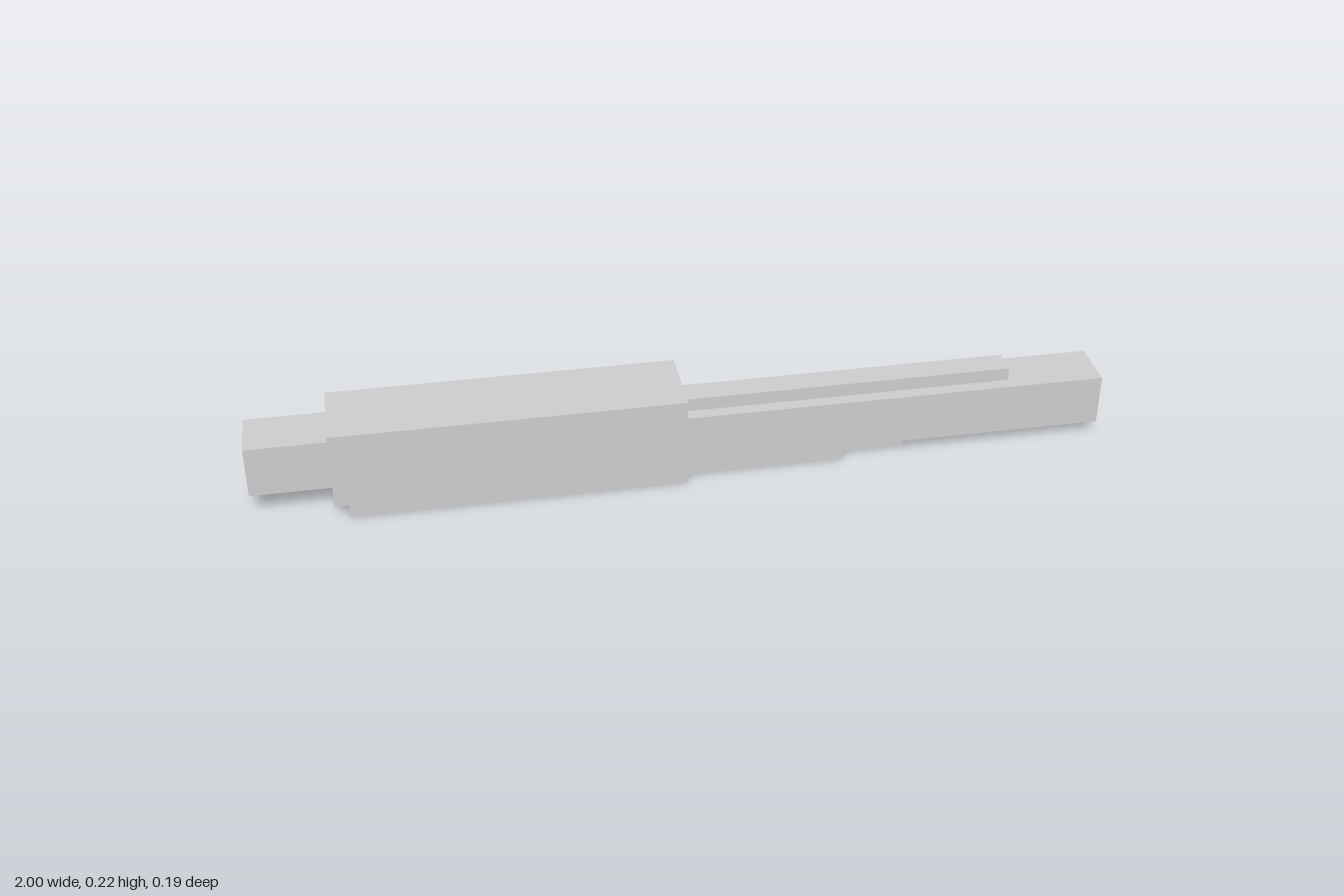
import * as THREE from 'three';

const material = new THREE.MeshStandardMaterial({ color: 0xcccccc, flatShading: true });

// Side outline (x, y) extruded symmetrically about z = 0
function slab(name, outline, width) {
  const shape = new THREE.Shape(outline.map(([x, y]) => new THREE.Vector2(x, y)));
  const geometry = new THREE.ExtrudeGeometry(shape, { depth: width, bevelEnabled: false });
  geometry.translate(0, 0, -width / 2);
  const mesh = new THREE.Mesh(geometry, material);
  mesh.name = name;
  return mesh;
}

// Box given by its x and y ranges and its full width in z
function block(name, x0, x1, y0, y1, width) {
  const mesh = new THREE.Mesh(new THREE.BoxGeometry(x1 - x0, y1 - y0, width), material);
  mesh.position.set((x0 + x1) / 2, (y0 + y1) / 2, 0);
  mesh.name = name;
  return mesh;
}

export function createModel() {
  const model = new THREE.Group();
  model.name = 'model';

  // Wide main body with a small notch under its rear end
  model.add(slab('mainBody', [
    [-0.813, 0.034], [-0.781, 0.034], [-0.781, 0], [-0.003, 0],
    [-0.003, 0.22], [-0.813, 0.22],
  ], 0.188));

  // Narrow bar with a deeper inner half
  model.add(slab('foreBar', [
    [-0.003, 0], [0.373, 0], [0.373, 0.033], [1, 0.033],
    [1, 0.156], [-0.003, 0.156],
  ], 0.125));

  model.add(block('topRail', -0.003, 0.777, 0.156, 0.188, 0.0625));
  model.add(block('lowerTab', 0.373, 0.53, 0, 0.033, 0.0625));
  model.add(block('rearStub', -1, -0.813, 0.064, 0.188, 0.125));

  return model;
}
